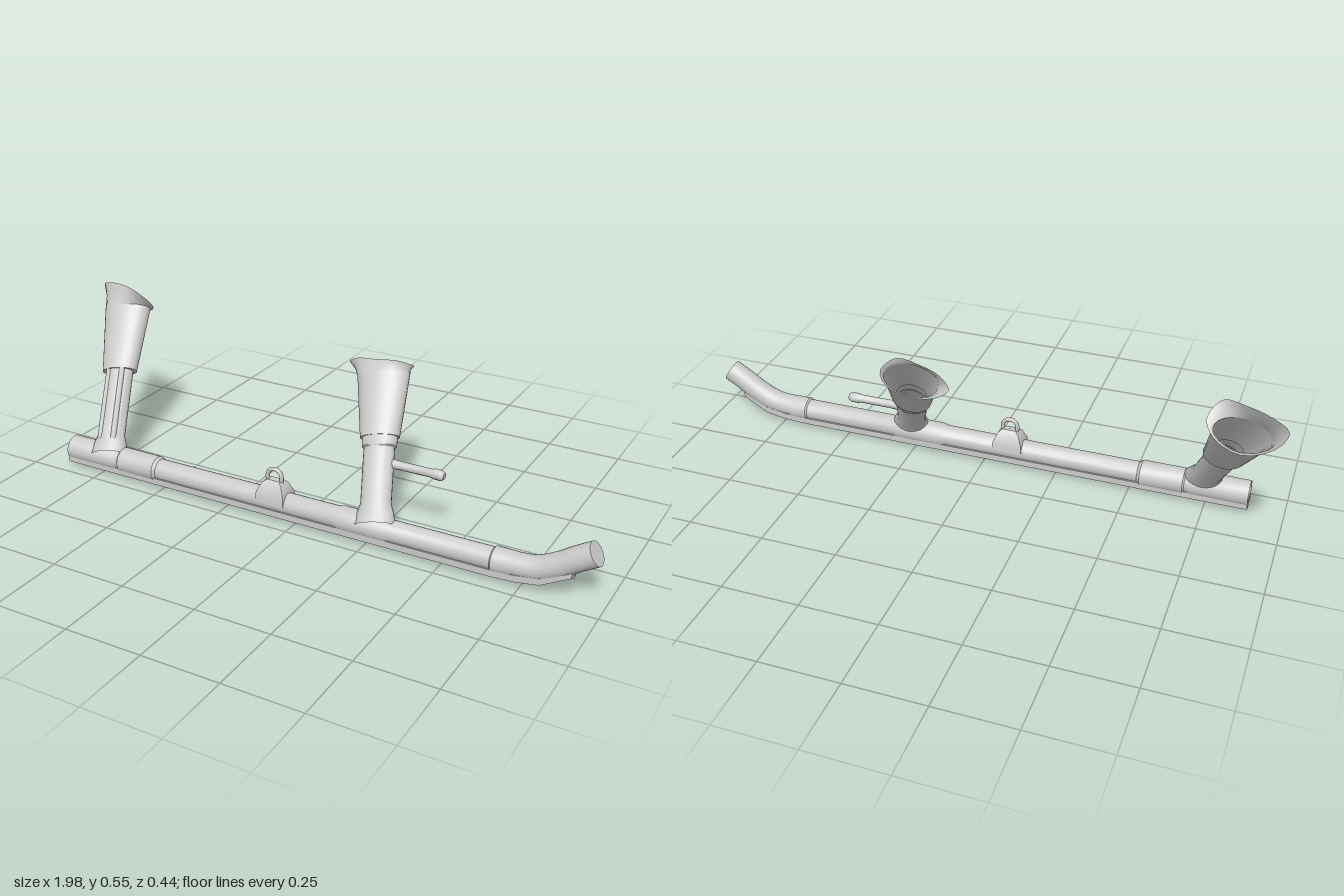
import * as THREE from 'three';
import { toCreasedNormals } from 'three/addons/utils/BufferGeometryUtils.js';

const grey = new THREE.MeshStandardMaterial({ color: 0xcccccc, side: THREE.DoubleSide });
const V = (x, y, z) => new THREE.Vector3(x, y, z);
const SIDES = 24;
const TUBE_Y = 0.053, TUBE_Z = 0.172;

function add(parent, name, geometry) {
  const mesh = new THREE.Mesh(geometry, grey);
  mesh.name = name;
  parent.add(mesh);
  return mesh;
}

// Skin a row of closed rings that all have the same point count
function loft(rings, crease = 0.6) {
  const n = rings[0].length, index = [];
  for (let i = 0; i < rings.length - 1; i++) {
    for (let j = 0; j < n; j++) {
      const a = i * n + j, b = i * n + (j + 1) % n;
      index.push(a, b, b + n, a, b + n, a + n);
    }
  }
  const g = new THREE.BufferGeometry().setFromPoints(rings.flat());
  g.setIndex(index);
  return toCreasedNormals(g, crease);
}

// Strut frame: axis leans inboard and aft, u is the chord, v the thickness
const axis = V(-0.36, 1, -0.85).normalize();
const u = V(1, 0, 0).addScaledVector(axis, -axis.x).normalize();
const v = u.clone().cross(axis);

function strutPoint(baseX, y) {
  const h = y - 0.08;
  return V(baseX - 0.36 * h, y, 0.172 - 0.85 * h);
}

function section(baseX, y, chord, thick) {
  const c = strutPoint(baseX, y);
  return Array.from({ length: SIDES }, (_, j) => {
    const a = Math.PI - (2 * Math.PI * j) / SIDES;
    return c.clone().addScaledVector(u, Math.cos(a) * chord / 2).addScaledVector(v, Math.sin(a) * thick / 2);
  });
}

// Smooth closed rim through a few points, in the same order as section()
function rim(points) {
  const curve = new THREE.CatmullRomCurve3(points.map(p => V(...p)), true);
  return Array.from({ length: SIDES }, (_, j) => curve.getPoint(j / SIDES));
}

function makeStrut(name, x, cuffY, topY, rimPoints) {
  const g = new THREE.Group();
  g.name = name;
  // lower leg with a flared foot
  add(g, 'lowerLeg', loft([
    section(x, 0.065, 0.13, 0.085), section(x, 0.09, 0.12, 0.078),
    section(x, 0.115, 0.098, 0.07), section(x, cuffY + 0.04, 0.1, 0.07)], 1));
  // fairing with a stepped lower edge
  add(g, 'fairing', loft([
    section(x, cuffY, 0.1, 0.066), section(x, cuffY, 0.128, 0.08),
    section(x, topY, 0.172, 0.1)]));
  // flared mouth that meets the hull
  const start = section(x, topY, 0.172, 0.1), end = rim(rimPoints);
  const mid = start.map((p, j) => p.clone().lerp(end[j], 0.55)
    .lerp(strutPoint(x, topY + 0.02), 0.06));
  add(g, 'flaredMouth', loft([start, mid, end], 1));
  return g;
}

export function createModel() {
  const model = new THREE.Group();
  model.name = 'landingSkid';

  // Straight runner with its sleeves, as radius / x steps
  const steps = [[0.034, -0.85], [0.034, -0.885], [0.042, -0.885], [0.042, -0.7], [0.038, -0.69],
    [0.038, -0.68], [0.043, -0.675], [0.043, -0.535], [0.036, -0.525], [0.036, 0.14],
    [0.041, 0.16], [0.041, 0.315], [0.036, 0.33], [0.036, 0.655], [0.041, 0.66], [0.04, 0.72]];
  const runner = new THREE.LatheGeometry(steps.map(p => new THREE.Vector2(...p)), SIDES);
  runner.rotateZ(-Math.PI / 2).translate(0, TUBE_Y, TUBE_Z);
  add(model, 'runnerTube', toCreasedNormals(runner, 0.6));
  const plug = add(model, 'rearPlug', new THREE.CircleGeometry(0.035, SIDES));
  plug.position.set(-0.852, TUBE_Y, TUBE_Z);
  plug.rotation.y = -Math.PI / 2;

  // Upturned nose with a slanted end
  const bend = new THREE.CatmullRomCurve3([V(0.70, 0.053, TUBE_Z), V(0.79, 0.062, TUBE_Z),
    V(0.855, 0.092, TUBE_Z), V(0.905, 0.125, TUBE_Z), V(0.957, 0.156, TUBE_Z)]);
  add(model, 'upturnedNose', new THREE.TubeGeometry(bend, 24, 0.038, SIDES));
  const cap = add(model, 'noseCap', new THREE.CircleGeometry(0.038, SIDES));
  cap.position.copy(bend.getPoint(1));
  cap.lookAt(cap.position.clone().add(bend.getTangent(1)));

  // Wear shoe with a shallow keel, rising under the nose
  const shoeRing = ([x, y, w]) => [[-w, 0.035], [-w, 0.013], [0, 0], [w, 0.013], [w, 0.035]]
    .map(([z, h]) => V(x, y + h, TUBE_Z + z));
  const shoe = [[-0.885, 0.004, 0.001], [-0.885, 0, 0.036], [0.66, 0, 0.036], [0.74, 0.004, 0.036],
    [0.81, 0.014, 0.034], [0.9, 0.06, 0.028], [0.9, 0.065, 0.001]];
  add(model, 'wearShoe', loft(shoe.map(shoeRing).map(r => r.reverse()), 0.2));

  // Struts
  const rear = makeStrut('rearStrut', -0.735, 0.285, 0.455, [
    [-1.0, 0.515, -0.19], [-0.95, 0.537, -0.165], [-0.87, 0.547, -0.138], [-0.80, 0.54, -0.115],
    [-0.765, 0.49, -0.15], [-0.80, 0.452, -0.19], [-0.88, 0.432, -0.215], [-0.97, 0.47, -0.215]]);
  const front = makeStrut('frontStrut', 0.27, 0.27, 0.42, [
    [0.01, 0.43, -0.15], [0.05, 0.46, -0.125], [0.12, 0.475, -0.107], [0.20, 0.485, -0.107],
    [0.235, 0.46, -0.15], [0.20, 0.435, -0.193], [0.13, 0.415, -0.203], [0.05, 0.41, -0.18]]);
  model.add(rear, front);

  // Collar below the front fairing
  add(front, 'collar', loft([section(0.27, 0.245, 0.098, 0.07), section(0.27, 0.248, 0.112, 0.075),
    section(0.27, 0.275, 0.116, 0.077)]));

  // Slim rods along the rear leg
  for (const s of [-0.5, 0.5]) {
    const rod = [0.1, 0.29].map(y => strutPoint(-0.735, y)
      .addScaledVector(u, s * 0.05).addScaledVector(v, 0.027));
    add(rear, 'legRod', new THREE.TubeGeometry(new THREE.LineCurve3(...rod), 1, 0.01, 8));
  }

  // Step peg
  const peg = new THREE.LatheGeometry([[0.017, 0.23], [0.014, 0.3], [0.014, 0.4], [0.017, 0.41],
    [0.017, 0.432], [0.011, 0.441], [0, 0.441]].map(p => new THREE.Vector2(...p)), 10);
  peg.rotateZ(-Math.PI / 2).translate(0, 0.214, 0.052);
  add(model, 'stepPeg', toCreasedNormals(peg, 0.7));

  // Tie-down lug: saddle block and ring
  const lug = new THREE.Group();
  lug.name = 'tieDownLug';
  lug.position.set(-0.083, 0, TUBE_Z);
  const rect = (y, w, d) => [[-w, -d], [-w, d], [w, d], [w, -d]].map(([x, z]) => V(x, y, z));
  add(lug, 'saddle', loft([rect(0.055, 0.05, 0.039), rect(0.083, 0.05, 0.037),
    rect(0.118, 0.035, 0.022), rect(0.128, 0.022, 0.012), rect(0.128, 0.001, 0.001)]));
  const loop = new THREE.CatmullRomCurve3([V(-0.024, 0.122, 0), V(-0.025, 0.142, 0),
    V(-0.012, 0.16, 0), V(0.012, 0.16, 0), V(0.025, 0.142, 0), V(0.024, 0.122, 0)]);
  add(lug, 'ring', new THREE.TubeGeometry(loop, 20, 0.007, 8));
  model.add(lug);

  return model;
}
